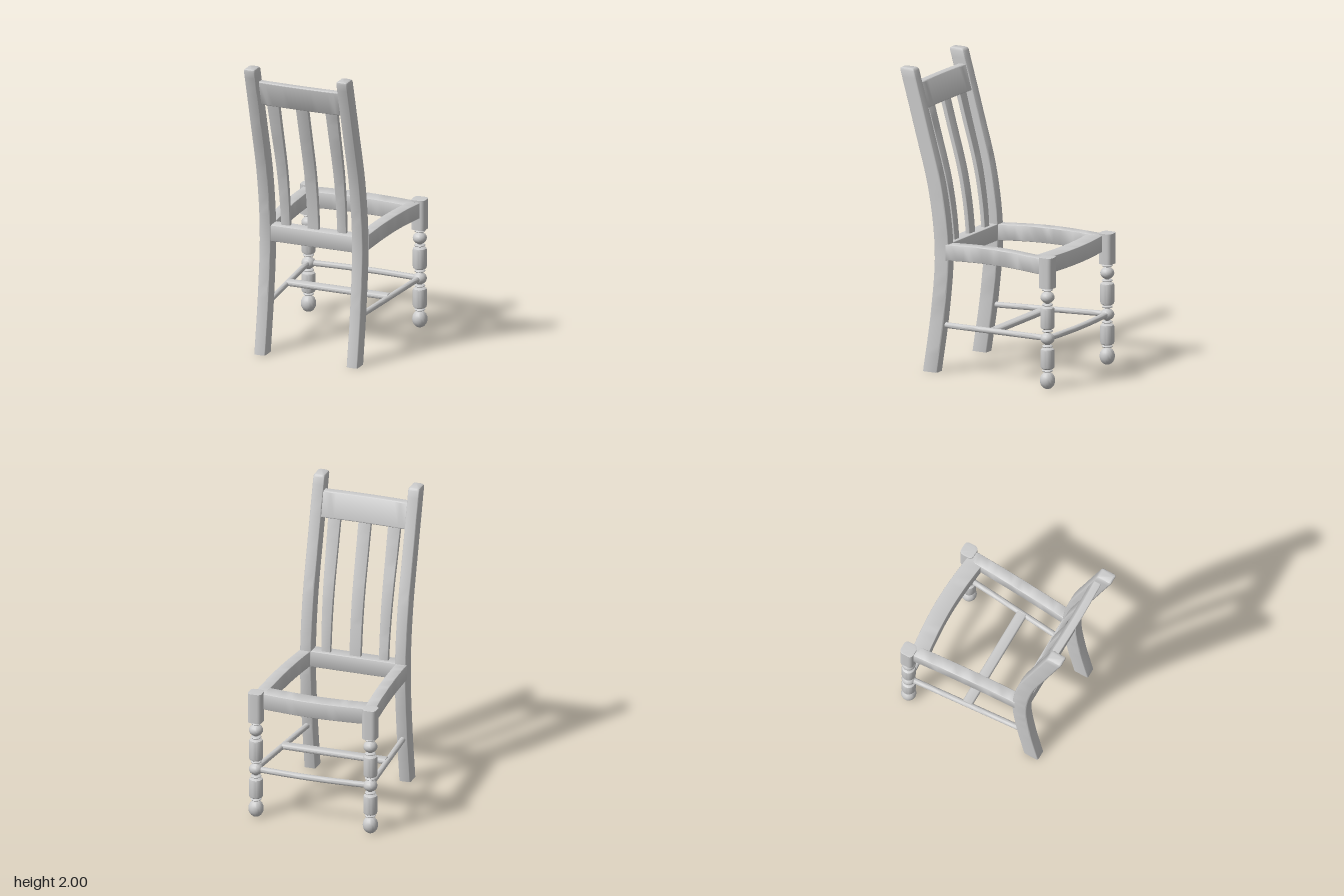
import * as THREE from 'three';
import { toCreasedNormals } from 'three/addons/utils/BufferGeometryUtils.js';

const material = new THREE.MeshStandardMaterial({ color: 0xcccccc });
const X = new THREE.Vector3(1, 0, 0), Y = new THREE.Vector3(0, 1, 0), Z = new THREE.Vector3(0, 0, 1);
const V = (x, y, z) => new THREE.Vector3(x, y, z);

function addMesh(parent, name, geometry) {
  const mesh = new THREE.Mesh(geometry, material);
  mesh.name = name;
  parent.add(mesh);
  return mesh;
}

// Outline of a rounded rectangle with half sizes hu, hv, counter-clockwise
function roundedOutline(hu, hv, r) {
  const pts = [], signs = [[1, 1], [-1, 1], [-1, -1], [1, -1]];
  signs.forEach(([su, sv], k) => {
    for (let i = 0; i <= 4; i++) {
      const a = (k + i / 4) * Math.PI / 2;
      pts.push([su * (hu - r) + r * Math.cos(a), sv * (hv - r) + r * Math.sin(a)]);
    }
  });
  return pts;
}

// Sweep a rounded rectangle along path(t); u x v must point along the travel
function loft(path, u, v, size, r, { steps = 16, bevel = 0 } = {}) {
  const rings = [];
  for (let i = 0; i <= steps; i++) rings.push([i / steps, 0]);
  if (bevel) rings.splice(steps, 1, [1 - bevel, 0], [1 - bevel * 0.3, bevel * 0.5], [1, bevel * 1.4]);
  const pos = [], index = [], n = 20;
  for (const [t, inset] of rings) {
    const c = path(t), [hu, hv] = size(t);
    for (const [a, b] of roundedOutline(hu - inset, hv - inset, r)) {
      const p = c.clone().addScaledVector(u, a).addScaledVector(v, b);
      pos.push(p.x, p.y, p.z);
    }
  }
  const last = rings.length - 1;
  for (let i = 0; i < last; i++) {
    for (let j = 0; j < n; j++) {
      const a = i * n + j, b = i * n + (j + 1) % n;
      index.push(a, b, b + n, a, b + n, a + n);
    }
  }
  for (let j = 1; j < n - 1; j++) {
    index.push(0, j + 1, j, last * n, last * n + j, last * n + j + 1);
  }
  const g = new THREE.BufferGeometry();
  g.setAttribute('position', new THREE.Float32BufferAttribute(pos, 3));
  g.setIndex(index);
  return toCreasedNormals(g, 0.6);
}

// Depth of the bent back at a given height
const backCurve = new THREE.CatmullRomCurve3([
  [0, 0.36], [0.4, 0.302], [0.8, 0.273], [1.2, 0.318], [1.6, 0.422], [2, 0.533],
].map(([y, z]) => V(0, y, z)));
const backZ = (y) => backCurve.getPoint(y / 2).z;

// Turned lower part of a front leg: ball foot, barrels, beads and rings
function turnedLegGeometry() {
  const pts = [];
  const ball = (y, r, h) => {
    for (let i = -4; i <= 4; i++) {
      const a = i / 4 * 1.15;
      pts.push(new THREE.Vector2(r * Math.cos(a), y + h * Math.sin(a) / Math.sin(1.15)));
    }
  };
  const ring = (y) => ball(y, 0.036, 0.009);
  const barrel = (y0, y1) => {
    for (const [r, y] of [[0.03, y0], [0.043, y0 + 0.008], [0.046, y0 + 0.02],
      [0.046, y1 - 0.02], [0.043, y1 - 0.008], [0.03, y1]]) pts.push(new THREE.Vector2(r, y));
  };
  pts.push(new THREE.Vector2(0, 0));
  ball(0.055, 0.05, 0.053);
  ring(0.119);
  barrel(0.13, 0.27);
  ring(0.282);
  ball(0.332, 0.046, 0.036);
  ring(0.383);
  barrel(0.395, 0.545);
  ring(0.557);
  ball(0.607, 0.046, 0.036);
  ring(0.656);
  pts.push(new THREE.Vector2(0.03, 0.675));
  return toCreasedNormals(new THREE.LatheGeometry(pts, 28), 0.7);
}

export function createModel() {
  const model = new THREE.Group();
  model.name = 'chair';
  const chair = new THREE.Group();
  chair.name = 'chairFrame';
  chair.rotation.y = -0.0437;
  chair.position.x = -0.023;
  model.add(chair);

  const legGeometry = turnedLegGeometry();
  for (const s of [1, -1]) {
    const side = s > 0 ? 'left' : 'right';

    // Back post, one bent piece from floor to top
    addMesh(chair, side + 'BackPost', loft((t) => V(s * 0.326, 2 * t, backZ(2 * t)), Z, X,
      () => [0.053, 0.039], 0.012, { steps: 32, bevel: 0.008 }));

    // Front leg with squared top block
    const leg = new THREE.Group();
    leg.name = side + 'FrontLeg';
    leg.position.set(s * 0.393, 0, -0.532);
    addMesh(leg, 'turnedLeg', legGeometry);
    addMesh(leg, 'legBlock', loft((t) => V(0, 0.67 + 0.205 * t, 0), Z, X,
      () => [0.047, 0.047], 0.026, { steps: 4, bevel: 0.006 }));
    chair.add(leg);

    // Seat rail, arched and tapering in towards the back
    addMesh(chair, side + 'SeatRail', loft(
      (t) => V(s * (0.376 - 0.046 * t), 0.807 + 0.016 * Math.sin(Math.PI * t), -0.5 + 0.74 * t),
      X, Y, () => [0.038, 0.053], 0.006));

    // Side stretcher
    addMesh(chair, side + 'Stretcher', loft(
      (t) => V(s * (0.393 - 0.067 * t), 0.334 - 0.018 * t, -0.532 + 0.83 * t),
      X, Y, () => [0.019, 0.019], 0.0185));
  }

  // Front seat rail, bowed forward
  addMesh(chair, 'frontSeatRail', loft(
    (t) => V(-0.375 + 0.75 * t, 0.807, -0.462 - 0.028 * Math.sin(Math.PI * t)),
    Y, Z, () => [0.055, 0.056], 0.006));

  // Back seat rail
  addMesh(chair, 'backSeatRail', loft((t) => V(-0.32 + 0.64 * t, 0.808, 0.271),
    Y, Z, () => [0.055, 0.046], 0.006, { steps: 2 }));

  // Front stretcher and flat cross stretcher
  addMesh(chair, 'frontStretcher', loft(
    (t) => V(-0.393 + 0.786 * t, 0.332, -0.532 - 0.018 * Math.sin(Math.PI * t)),
    Y, Z, () => [0.018, 0.022], 0.0175));
  addMesh(chair, 'crossStretcher', loft((t) => V(-0.355 + 0.71 * t, 0.33, -0.117),
    Y, Z, () => [0.018, 0.036], 0.0175, { steps: 2 }));

  // Crest rail, leaning with the posts
  const lean = V(0, 1, 0.27);
  addMesh(chair, 'crestRail', loft(
    (t) => V(-0.32 + 0.64 * t, 1.815, 0.462 + 0.008 * Math.sin(Math.PI * t)),
    lean, Z, () => [0.085, 0.026], 0.008));

  // Back slats, widening upward and following the bend
  [-0.2, -0.005, 0.196].forEach((x, i) => {
    const bottom = i === 1 ? 0.039 : 0.031;
    addMesh(chair, 'backSlat' + (i + 1), loft((t) => {
      const y = 0.84 + 0.92 * t;
      return V(x + Math.sign(Math.round(x * 10)) * 0.008 * t, y, backZ(y) - 0.01);
    }, Z, X, (t) => [0.015, bottom + (0.043 - bottom) * t], 0.005));
  });

  return model;
}
